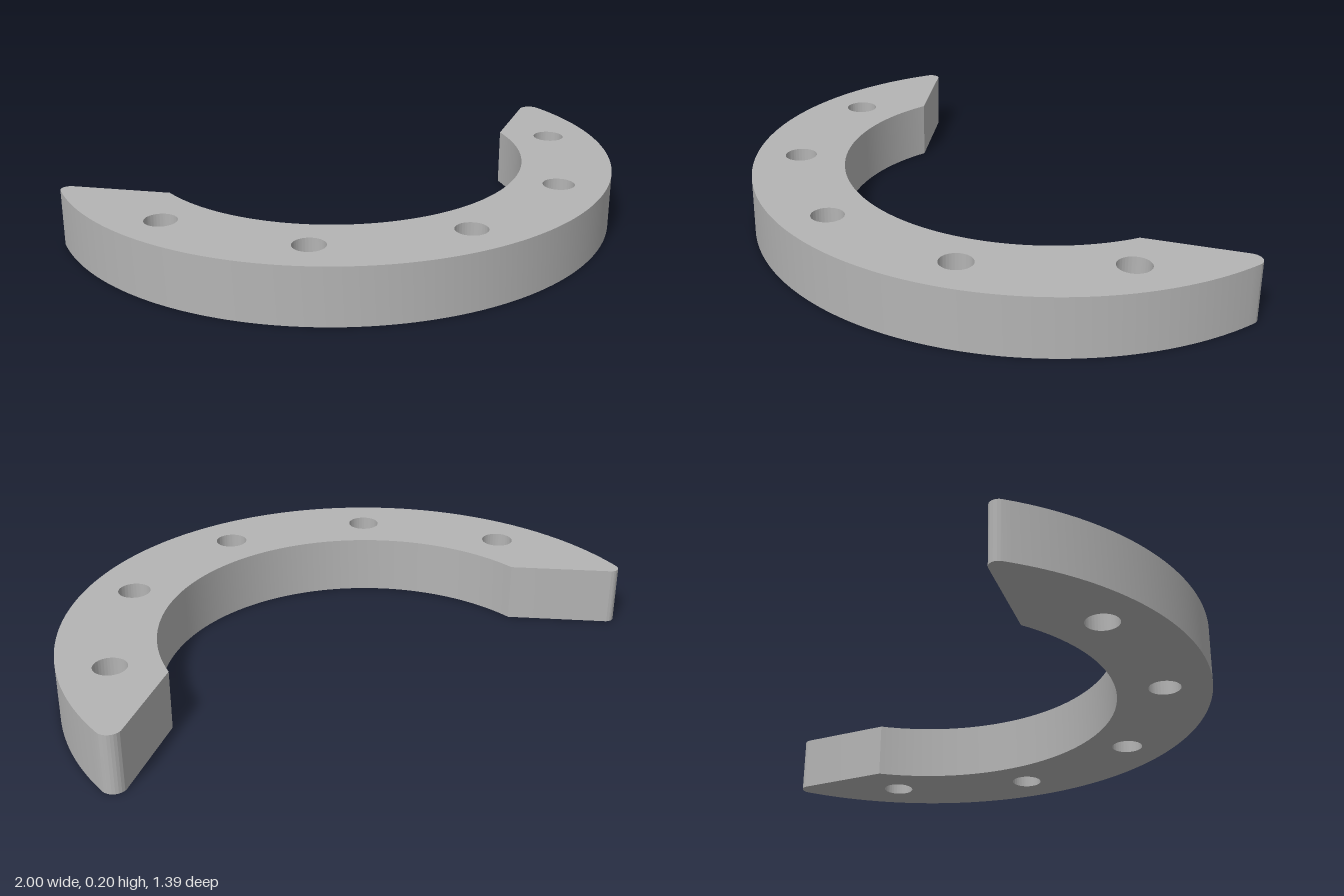
import * as THREE from 'three';
import { toCreasedNormals } from 'three/addons/utils/BufferGeometryUtils.js';

const CENTRE = new THREE.Vector2(-0.004, 0.314); // plan coordinates: (x, -z)
const OUTER = 1.004, INNER = 0.684, HEIGHT = 0.2;

// Rounded tip where a straight end cut meets the outer arc.
// p: inner corner, d: direction along the cut, n: normal towards the body
function makeTip(p, d, n, r) {
  const q = p.clone().addScaledVector(n, r).sub(CENTRE);
  const b = q.dot(d);
  const t = -b + Math.sqrt(b * b - q.lengthSq() + (OUTER - r) ** 2);
  const f = q.addScaledVector(d, t);
  return {
    r,
    centre: f.clone().add(CENTRE),
    outerAngle: Math.atan2(f.y, f.x),
    cutAngle: Math.atan2(-n.y, -n.x),
    innerAngle: Math.atan2(p.y - CENTRE.y, p.x - CENTRE.x),
  };
}

export function createModel() {
  const group = new THREE.Group();
  const grey = new THREE.MeshStandardMaterial({ color: 0xb4b4b4 });
  grey.name = 'grey';

  const V = (x, y) => new THREE.Vector2(x, y);
  const left = makeTip(V(-0.643, 0.053), V(-0.906, 0.422).normalize(), V(-0.422, -0.906).normalize(), 0.03);
  const right = makeTip(V(0.675, 0.404), V(0.56, 0.828).normalize(), V(0.828, -0.56).normalize(), 0.04);

  // Ring segment outline, counterclockwise
  const shape = new THREE.Shape();
  shape.absarc(CENTRE.x, CENTRE.y, OUTER, left.outerAngle, right.outerAngle, false);
  shape.absarc(right.centre.x, right.centre.y, right.r, right.outerAngle, right.cutAngle, false);
  shape.absarc(CENTRE.x, CENTRE.y, INNER, right.innerAngle, left.innerAngle, true);
  shape.absarc(left.centre.x, left.centre.y, left.r, left.cutAngle, left.outerAngle, false);

  // Bolt holes through the plate
  const holes = [[-0.691, -0.182], [-0.269, -0.489], [0.255, -0.489], [0.675, -0.182], [0.838, 0.316]];
  for (const [x, y] of holes) {
    shape.holes.push(new THREE.Path().absarc(x, y, 0.055, 0, Math.PI * 2, true));
  }

  const extruded = new THREE.ExtrudeGeometry(shape, { depth: HEIGHT, bevelEnabled: false, curveSegments: 64 });
  extruded.rotateX(-Math.PI / 2);
  const plate = new THREE.Mesh(toCreasedNormals(extruded, 0.4), grey);
  plate.name = 'ringSegment';
  group.add(plate);
  return group;
}
